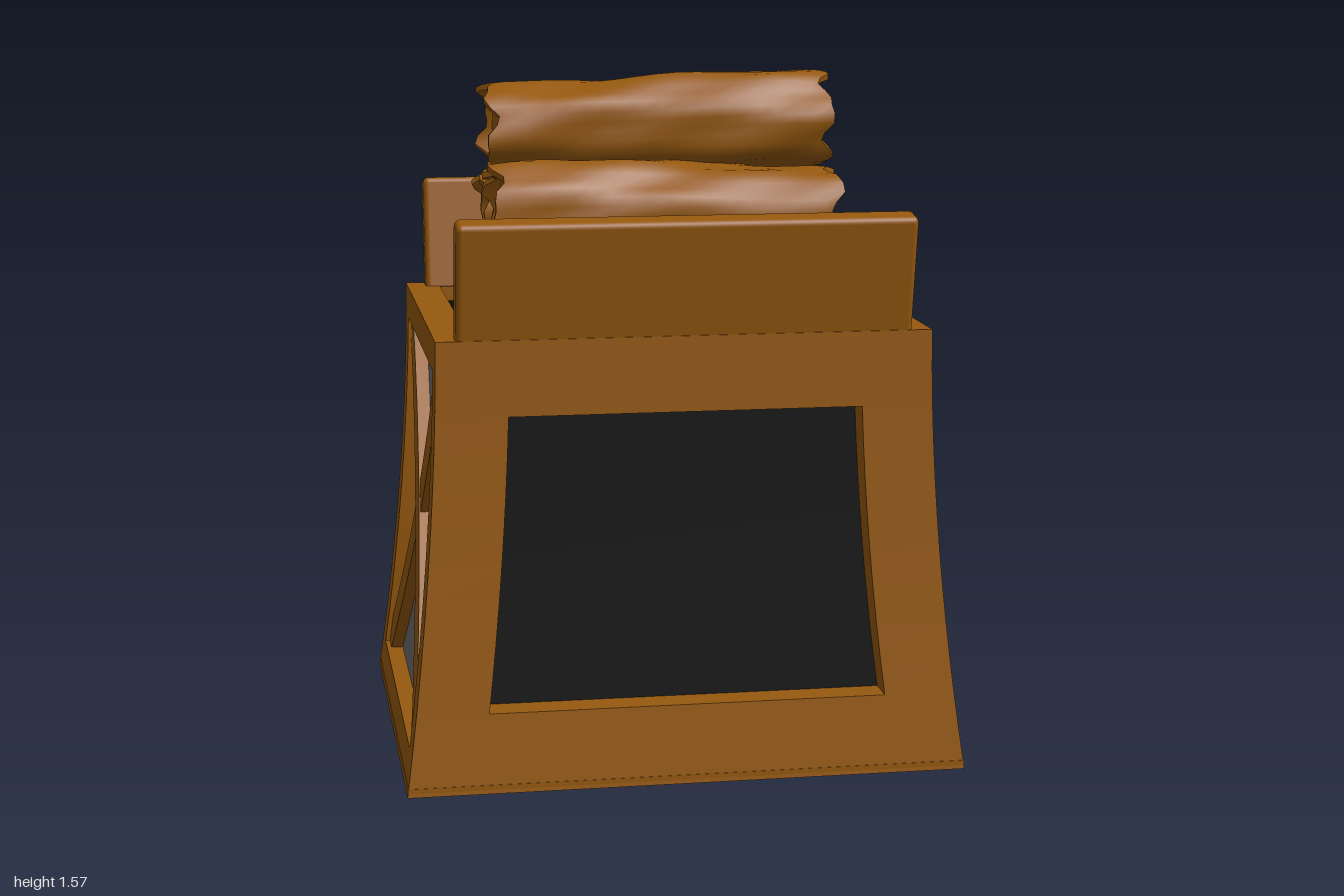
import * as THREE from 'three';
import { mergeVertices, toCreasedNormals } from 'three/addons/utils/BufferGeometryUtils.js';
import { RoundedBoxGeometry } from 'three/addons/geometries/RoundedBoxGeometry.js';

const mat = (name, color) => new THREE.MeshStandardMaterial({ name, color });
const V = (x, y, z) => new THREE.Vector3(x, y, z);

// Crate size: flared walls, wider at the foot
const TOP = 1.016, CZ = 0.487;
const flare = (y) => Math.pow(Math.max(0, 1 - y / TOP), 1.8);
const halfX = (y) => 0.56 + 0.08 * flare(y);
const halfZ = (y) => 0.447 + 0.066 * flare(y);

function quadGeometry(quads) {
  const pos = [];
  for (const [a, b, c, d] of quads) for (const p of [a, b, c, a, c, d]) pos.push(p.x, p.y, p.z);
  const g = new THREE.BufferGeometry();
  g.setAttribute('position', new THREE.Float32BufferAttribute(pos, 3));
  g.computeVertexNormals();
  return g;
}

// Joins rings of points, listed upwards and counter-clockwise from above
function loft(rings, crease = 0.7) {
  const n = rings[0].length, index = [], pos = rings.flat().flatMap((p) => [p.x, p.y, p.z]);
  for (let i = 0; i < rings.length - 1; i++) {
    for (let j = 0; j < n; j++) {
      const k = (j + 1) % n, a = i * n + j, b = i * n + k;
      index.push(a, b, b + n, a, b + n, a + n);
    }
  }
  const g = new THREE.BufferGeometry();
  g.setAttribute('position', new THREE.Float32BufferAttribute(pos, 3));
  g.setIndex(index);
  return toCreasedNormals(g, crease);
}

export function createModel() {
  const model = new THREE.Group();
  const wood = mat('wood', 0x96590f), steel = mat('grey panel', 0x6e6e6e);
  const black = mat('black interior', 0x0d0d0d), bark = mat('dark bark', 0x4a2f10);
  const iron = mat('iron', 0x66575a);

  const add = (name, geometry, material, parent = model) => {
    const mesh = new THREE.Mesh(geometry, material);
    mesh.name = name;
    parent.add(mesh);
    return mesh;
  };

  // One crate wall: frame with a recessed panel, optionally cross braced
  function wall(name, quarter, border, y0, y1, depth, panelMat, braced) {
    const group = new THREE.Group();
    group.name = name;
    model.add(group);
    const a = quarter * Math.PI / 2, sin = Math.round(Math.sin(a)), cos = Math.round(Math.cos(a));
    const out = quarter % 2 ? halfX : halfZ, half = quarter % 2 ? halfZ : halfX;
    const P = (s, y, inset) => {
      const n = out(y) - inset;
      return V(s * cos + n * sin, y, CZ - s * sin + n * cos);
    };
    const w = (y) => half(y) - border, neg = (f) => (y) => -f(y);
    const frame = [], panel = [];
    const band = (list, ya, yb, n, left, right, inset) => {
      for (let i = 0; i < n; i++) {
        const l = ya + (yb - ya) * i / n, h = ya + (yb - ya) * (i + 1) / n;
        list.push([P(left(l), l, inset), P(right(l), l, inset), P(right(h), h, inset), P(left(h), h, inset)]);
      }
    };
    band(frame, 0, y0, 2, neg(half), half, 0);
    band(frame, y1, TOP, 2, neg(half), half, 0);
    band(frame, y0, y1, 8, neg(half), neg(w), 0);
    band(frame, y0, y1, 8, w, half, 0);
    band(panel, y0, y1, 8, neg(w), w, depth);
    // Inner edges of the opening
    for (let i = 0; i < 8; i++) {
      const l = y0 + (y1 - y0) * i / 8, h = y0 + (y1 - y0) * (i + 1) / 8;
      frame.push([P(-w(l), l, depth), P(-w(h), h, depth), P(-w(h), h, 0), P(-w(l), l, 0)]);
      frame.push([P(w(l), l, 0), P(w(h), h, 0), P(w(h), h, depth), P(w(l), l, depth)]);
    }
    const edge = (y) => [P(-w(y), y, depth), P(-w(y), y, 0), P(w(y), y, 0), P(w(y), y, depth)];
    frame.push(edge(y0), edge(y1).reverse());
    add('wallFrame', quadGeometry(frame), wood, group);
    add('wallPanel', quadGeometry(panel), panelMat, group);
    if (!braced) return;
    for (const side of [-1, 1]) {
      const s0 = side * w(y0), s1 = -side * w(y1), len = Math.hypot(s1 - s0, y1 - y0);
      const rs = (y1 - y0) / len * 0.044, ry = -(s1 - s0) / len * 0.044;
      const at = (t, e, inset) => P(s0 + (s1 - s0) * t + rs * e, y0 + (y1 - y0) * t + ry * e, inset);
      const f = side > 0 ? 0.008 : 0.011, quads = [];
      for (let i = 0; i < 8; i++) {
        const t = i / 8, u = (i + 1) / 8;
        quads.push([at(t, -1, f), at(t, 1, f), at(u, 1, f), at(u, -1, f)]);
        quads.push([at(t, 1, depth), at(u, 1, depth), at(u, 1, f), at(t, 1, f)]);
        quads.push([at(t, -1, f), at(u, -1, f), at(u, -1, depth), at(t, -1, depth)]);
      }
      add('crossBrace', quadGeometry(quads), wood, group);
    }
  }
  wall('frontWall', 0, 0.163, 0.18, 0.845, 0.07, black, false);
  wall('leftWall', 1, 0.077, 0.087, 0.94, 0.04, steel, true);
  wall('backWall', 2, 0.077, 0.087, 0.94, 0.04, steel, false);
  wall('rightWall', 3, 0.077, 0.087, 0.94, 0.04, steel, true);

  // Horizontal rims with recessed panels at the top and bottom
  function rim(name, y, hx, hz, border, thick, panelY, panelMat, facing) {
    const rect = (shape, x, z) => shape.moveTo(-x, -z).lineTo(x, -z).lineTo(x, z).lineTo(-x, z).closePath();
    const shape = rect(new THREE.Shape(), hx, hz);
    shape.holes.push(rect(new THREE.Path(), hx - border, hz - border));
    const g = new THREE.ExtrudeGeometry(shape, { depth: thick, bevelEnabled: false });
    add(name + 'Rim', g.rotateX(-Math.PI / 2), wood).position.set(0, y, CZ);
    const p = new THREE.PlaneGeometry(2 * (hx - border), 2 * (hz - border)).rotateX(-facing * Math.PI / 2);
    add(name + 'Panel', p, panelMat).position.set(0, panelY, CZ);
  }
  rim('top', TOP - 0.04, 0.56, 0.447, 0.08, 0.04, TOP - 0.036, black, 1);
  rim('bottom', 0, 0.639, 0.512, 0.09, 0.02, 0.017, steel, -1);

  // Leaning boards that hold the logs
  for (const side of [-1, 1]) {
    const board = add(side > 0 ? 'frontBoard' : 'backBoard', new RoundedBoxGeometry(1.03, 0.29, 0.065, 3, 0.014), wood);
    board.position.set(0, 1.137, CZ + side * 0.432);
    board.rotation.x = side * 0.17;
  }

  // Gnarled logs with hollowed, ragged ends
  function log(y, z, seed) {
    const pts = [[0, -0.375], [0.08, -0.375], [0.088, -0.365], [0.098, -0.4], [0.112, -0.4]];
    const body = Array.from({ length: 17 }, (_, i) => [0.115, -0.36 + 0.045 * i]);
    const profile = [...pts, ...body, ...pts.map(([r, x]) => [r, -x]).reverse()];
    let g = new THREE.LatheGeometry(profile.map(([r, x]) => new THREE.Vector2(r, x)), 32);
    g.deleteAttribute('uv');
    g.deleteAttribute('normal');
    g = mergeVertices(g.rotateZ(-Math.PI / 2), 1e-4);
    const p = g.attributes.position;
    for (let i = 0; i < p.count; i++) {
      const x = p.getX(i), r = Math.hypot(p.getY(i), p.getZ(i)), a = Math.atan2(p.getZ(i), p.getY(i));
      const outer = r > 0.092 ? 1 : 0;
      const knots = 0.005 * Math.sin(3 * a + 7 * x + seed) + 0.004 * Math.sin(7 * a - 5 * x + 2 * seed)
        + 0.003 * Math.sin(5 * a + 19 * x + seed * 3);
      const k = r > 0 ? (r + outer * knots) / r : 1;
      const ragged = outer && Math.abs(x) > 0.38
        ? Math.sign(x) * (0.013 * Math.sin(5 * a + seed + x * 4) + 0.008 * Math.sin(9 * a + seed * 2) - 0.004) : 0;
      const bend = 0.01 * Math.sin(5 * x + seed), sway = 0.012 * Math.sin(6 * x + seed * 1.7);
      p.setXYZ(i, x + ragged, p.getY(i) * k + bend, p.getZ(i) * k + sway);
    }
    add('log', toCreasedNormals(g, 0.8), wood).position.set(0, y, z);
  }
  [[1.065, 0.73], [1.065, 0.49], [1.06, 0.257], [1.25, 0.612], [1.23, 0.37], [1.445, 0.49]]
    .forEach(([y, z], i) => log(y, z, (5 - i) * 1.3));

  // Axle bracket on the back wall
  const lug = new THREE.Shape();
  lug.moveTo(-0.06, 0.757).lineTo(0.05, 0.757).quadraticCurveTo(0.11, 0.757, 0.11, 0.815)
    .lineTo(0.11, 0.872).quadraticCurveTo(0.11, 0.93, 0.05, 0.93).lineTo(-0.06, 0.93).closePath();
  for (const x of [-0.155, 0.155]) {
    const g = new THREE.ExtrudeGeometry(lug, { depth: 0.106, bevelEnabled: false, curveSegments: 8 });
    g.translate(0, 0, -0.053).rotateY(Math.PI / 2);
    add('axleLug', g, iron).position.x = x;
  }
  const axle = new THREE.CylinderGeometry(0.034, 0.034, 0.47, 20).rotateZ(Math.PI / 2);
  add('axle', axle, iron).position.set(0, 0.845, 0);

  // Tree stump: uneven root outline blending into a round top
  const roots = [[0.31, -0.69], [0.33, -0.78], [0.345, -0.85], [0.33, -0.92], [0.16, -0.965], [0, -1],
    [-0.16, -0.955], [-0.22, -0.88], [-0.29, -0.8], [-0.41, -0.7], [-0.415, -0.66], [-0.29, -0.53],
    [-0.16, -0.425], [0, -0.365], [0.16, -0.345], [0.205, -0.365], [0.25, -0.47], [0.275, -0.57]];
  const SZ = -0.685;
  const circle = (r, y, wave = 0) => roots.map(([x, z], i) => {
    const a = Math.atan2(z - SZ, x);
    return V(r * Math.cos(a), y + wave * Math.sin(i * 1.9), SZ + r * Math.sin(a));
  });
  const rim0 = circle(0.252, 0.53, 0.008);
  const sides = Array.from({ length: 9 }, (_, i) => {
    const t = i / 8, k = Math.pow(1 - t, 1.35);
    return rim0.map((c, j) => V(c.x + (roots[j][0] - c.x) * k, 0.017 + (c.y - 0.017) * t, c.z + (roots[j][1] - c.z) * k));
  });
  add('stumpBark', loft([circle(0, 0.017), ...sides], 1), bark);
  add('stumpTop', loft([rim0, circle(0.243, 0.574), circle(0, 0.574)]), wood);

  return model;
}
